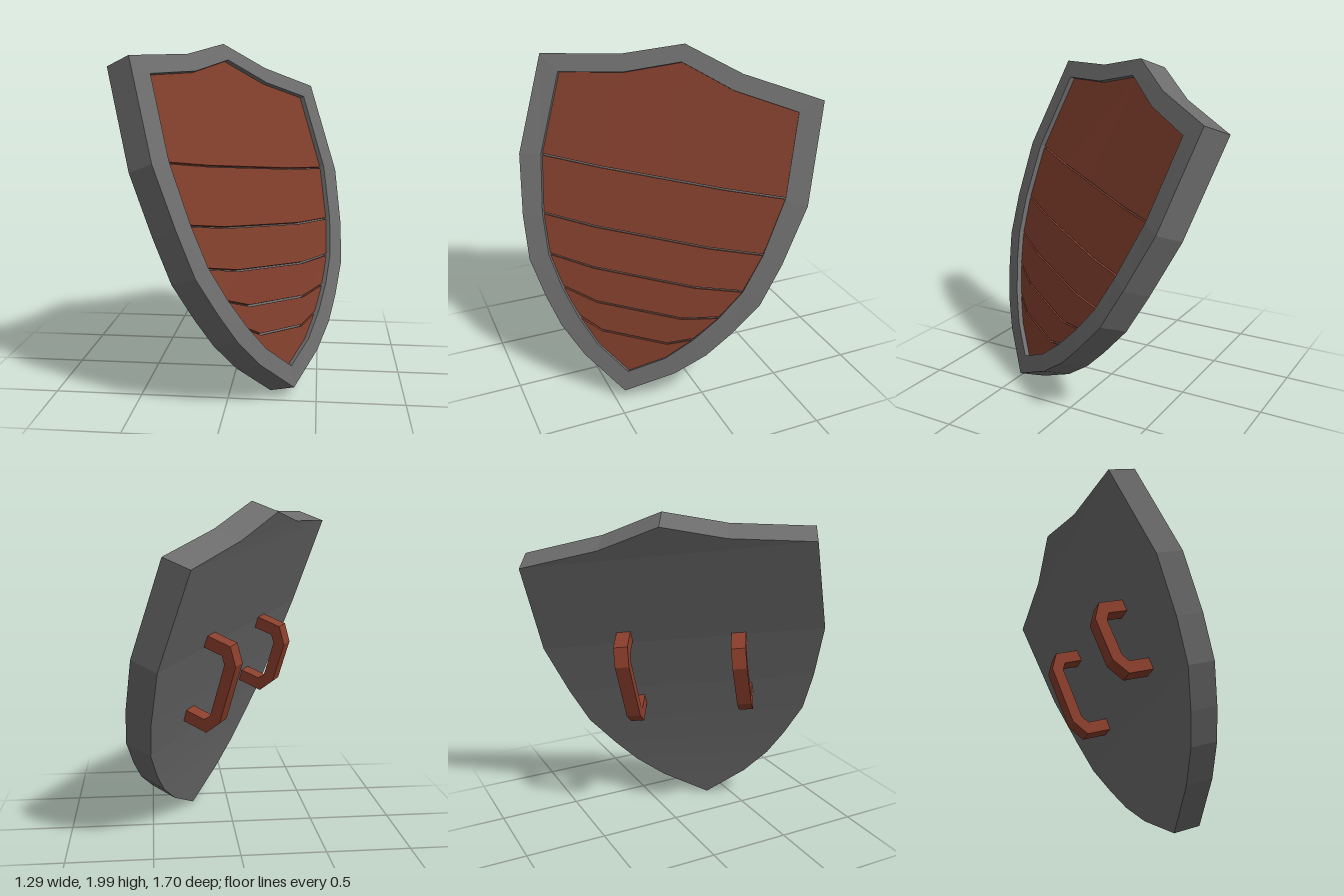
import * as THREE from 'three';

const THICK = 0.175, PANEL = 0.03, FLOOR = 0.055;

// Right half of the rim, from bottom tip to top peak: [x, height]
const OUTER = [[0, 0], [0.276, 0.172], [0.44, 0.32], [0.56, 0.475], [0.693, 0.679],
  [0.774, 0.933], [0.854, 1.287], [0.837, 1.887], [0.36, 1.96], [0, 2.076]];
const INNER = [[0, 0.122], [0.205, 0.25], [0.347, 0.392], [0.472, 0.551], [0.582, 0.732],
  [0.658, 0.965], [0.724, 1.307], [0.709, 1.798], [0.327, 1.858], [0, 1.97]];

// Plank seams: [centre height, kink x, kink height, edge x, edge height]
const SEAMS = [[0.333, 0.198, 0.333, 0.347, 0.392], [0.5, 0.259, 0.5, 0.472, 0.551],
  [0.7, 0.307, 0.7, 0.582, 0.732], [0.944, 0.344, 0.944, 0.658, 0.965],
  [1.295, 0.374, 1.295, 0.724, 1.307]];
const TIP = [0.122, 0, 0.122, 0, 0.122];
const LOW = [0.2, 0.11, 0.2, 0.205, 0.25];
const TOP = [1.97, 0.327, 1.858, 0.709, 1.798];

// Gentle lengthwise bow of the whole shield
const bow = (u) => 0.047 * (1 - ((u - 0.95) / 0.95) ** 2);
const at = ([x, u], depth) => [x, u, bow(u) - depth];
const flip = ([x, u]) => [-x, u];

function makeMesh(name, quads, color) {
  const pos = [];
  for (const [a, b, c, d] of quads) pos.push(...a, ...b, ...c, ...a, ...c, ...d);
  const geo = new THREE.BufferGeometry();
  geo.setAttribute('position', new THREE.Float32BufferAttribute(pos, 3));
  geo.computeVertexNormals();
  const mesh = new THREE.Mesh(geo, new THREE.MeshStandardMaterial({ color, flatShading: true }));
  mesh.name = name;
  return mesh;
}

// Rim with inner wall, recessed floor, outer wall and closed back
function makeBody() {
  const quads = [];
  const loop = (half) => [...half, ...half.slice(1, -1).reverse().map(flip)];
  const out = loop(OUTER), inn = loop(INNER);
  out.forEach((o, i) => {
    const j = (i + 1) % out.length, p = out[j], a = inn[i], b = inn[j];
    quads.push([at(o, 0), at(p, 0), at(b, 0), at(a, 0)]);
    quads.push([at(o, THICK), at(p, THICK), at(p, 0), at(o, 0)]);
    quads.push([at(a, 0), at(b, 0), at(b, FLOOR), at(a, FLOOR)]);
  });
  for (let i = 0; i < OUTER.length - 1; i++) {
    const o = OUTER[i], p = OUTER[i + 1], a = INNER[i], b = INNER[i + 1];
    quads.push([at(o, THICK), at(flip(o), THICK), at(flip(p), THICK), at(p, THICK)]);
    quads.push([at(flip(a), FLOOR), at(a, FLOOR), at(b, FLOOR), at(flip(b), FLOOR)]);
  }
  return makeMesh('rimAndBack', quads, 0x6c6c6c);
}

// One plank: a strip between rows, with short walls down to the floor
function makePlank(name, rows) {
  const lines = rows.map(([c, kx, ku, ex, eu]) => [[-ex, eu], [-kx, ku], [0, c], [kx, ku], [ex, eu]]);
  const quads = [], last = lines.length - 1;
  for (let k = 0; k < 4; k++) {
    for (let r = 0; r < last; r++) {
      const lo = lines[r], hi = lines[r + 1];
      quads.push([at(lo[k], PANEL), at(lo[k + 1], PANEL), at(hi[k + 1], PANEL), at(hi[k], PANEL)]);
    }
    const lo = lines[0], hi = lines[last];
    quads.push([at(lo[k], FLOOR), at(lo[k + 1], FLOOR), at(lo[k + 1], PANEL), at(lo[k], PANEL)]);
    quads.push([at(hi[k], PANEL), at(hi[k + 1], PANEL), at(hi[k + 1], FLOOR), at(hi[k], FLOOR)]);
  }
  return makeMesh(name, quads, 0x7e3d2b);
}

// Chamfered C-shaped grip on the back
function makeHandle(name, x, bot, top) {
  const w = 0.085, t = 0.075;
  const shape = new THREE.Shape([[0, bot], [0.17, bot], [0.235, bot + 0.1], [0.235, top - 0.1],
    [0.17, top], [0, top], [0, top - t], [0.135, top - t], [0.165, top - 0.12],
    [0.165, bot + 0.12], [0.135, bot + t], [0, bot + t]].map((p) => new THREE.Vector2(...p)));
  const geo = new THREE.ExtrudeGeometry(shape, { depth: w, bevelEnabled: false });
  geo.rotateY(Math.PI / 2).translate(x - w / 2, 0, -0.12);
  const mesh = new THREE.Mesh(geo, new THREE.MeshStandardMaterial({ color: 0x8a3e2c, flatShading: true }));
  mesh.name = name;
  return mesh;
}

export function createModel() {
  const shield = new THREE.Group();
  shield.name = 'shield';
  shield.add(makeBody());

  // Planks, separated by narrow grooves
  const gap = 0.005;
  const shift = ([c, kx, ku, ex, eu], d) => [c + d, kx, ku + d, ex, eu + d];
  for (let i = 0; i <= SEAMS.length; i++) {
    const rows = i === 0 ? [TIP, LOW] : [shift(SEAMS[i - 1], gap)];
    rows.push(i === SEAMS.length ? TOP : shift(SEAMS[i], -gap));
    shield.add(makePlank('plank' + (i + 1), rows));
  }

  shield.add(makeHandle('longHandle', 0.335, 0.79, 1.37));
  shield.add(makeHandle('shortHandle', -0.35, 0.83, 1.3));

  // Lean and turn the shield
  const side = new THREE.Vector3(0.556, -0.114, -0.823).normalize();
  const up = new THREE.Vector3(-0.219, 0.935, -0.278).normalize();
  const face = side.clone().cross(up).normalize();
  up.crossVectors(face, side);
  shield.quaternion.setFromRotationMatrix(new THREE.Matrix4().makeBasis(side, up, face));
  shield.position.set(0.373, 0.066, 0.453);

  const model = new THREE.Group();
  model.name = 'model';
  model.add(shield);

  // Stand on the ground, centred
  model.updateMatrixWorld(true);
  const box = new THREE.Box3().setFromObject(model, true);
  const mid = box.getCenter(new THREE.Vector3());
  shield.position.sub(new THREE.Vector3(mid.x, box.min.y, mid.z));
  return model;
}
